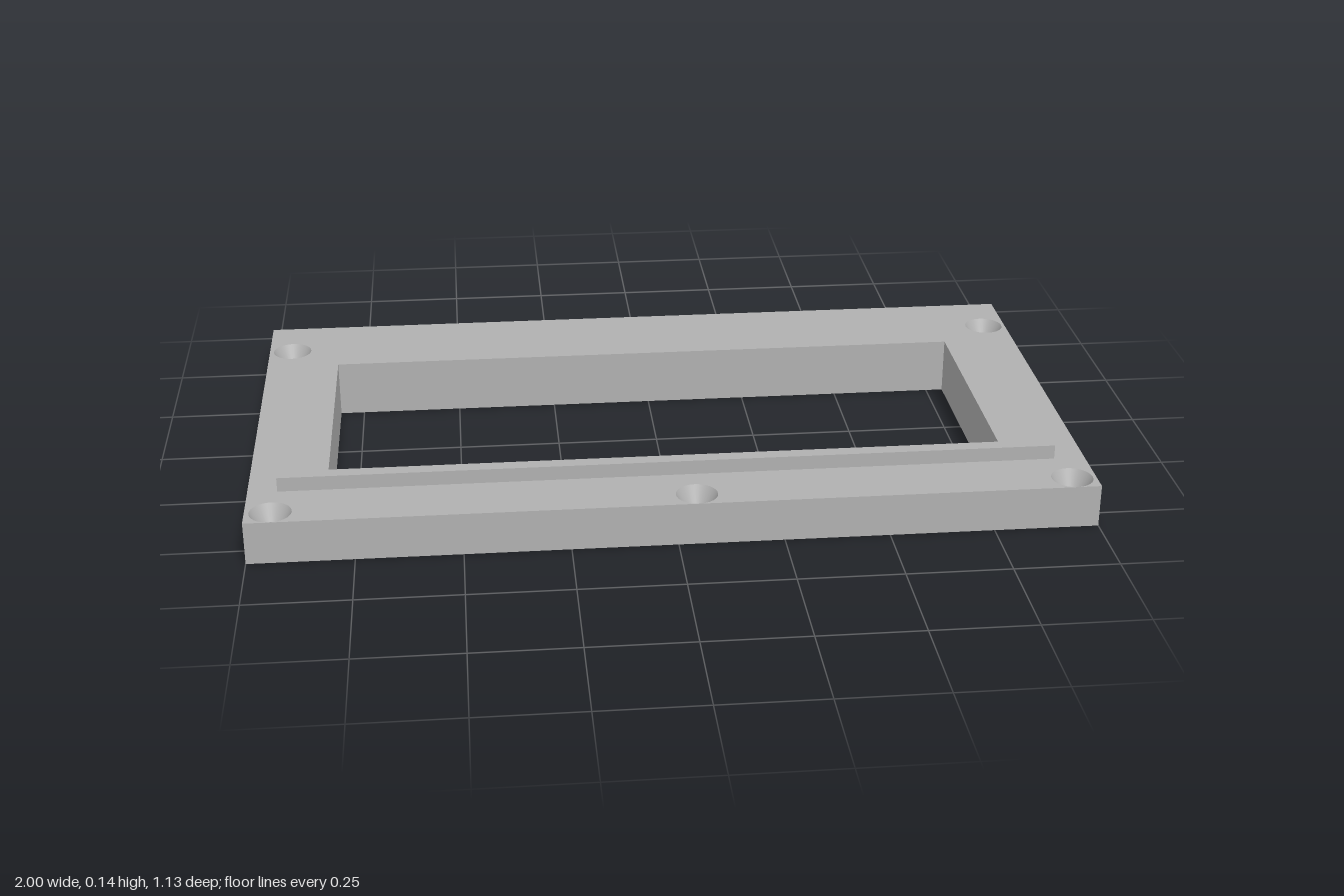
import * as THREE from 'three';
import { mergeGeometries } from 'three/addons/utils/BufferGeometryUtils.js';

// Outlines are counter-clockwise lists of Vector2(x, -z)
const loop = (pairs) => pairs.map(([x, z]) => new THREE.Vector2(x, -z));
const rect = (x0, x1, zBack, zFront) => loop([[x0, zFront], [x1, zFront], [x1, zBack], [x0, zBack]]);
const SEG = 32;
const circle = (x, z, r) => Array.from({ length: SEG }, (_, i) => {
  const a = (i / SEG) * Math.PI * 2;
  return new THREE.Vector2(x + r * Math.cos(a), -z + r * Math.sin(a));
});

// Flat horizontal face with holes, facing up or down
function cap(outline, holes, y, up) {
  const shape = new THREE.Shape(outline);
  shape.holes = holes.map((h) => new THREE.Path(h));
  const g = new THREE.ShapeGeometry(shape).rotateX(-Math.PI / 2).translate(0, y, 0);
  if (!up) {
    const idx = g.index;
    for (let i = 0; i < idx.count; i += 3) {
      const b = idx.getX(i + 1);
      idx.setX(i + 1, idx.getX(i + 2));
      idx.setX(i + 2, b);
    }
    g.computeVertexNormals();
  }
  const flat = g.toNonIndexed();
  flat.deleteAttribute('uv');
  return flat;
}

// Upright wall along an outline; inward for openings
function wall(outline, y0, y1, inward = false) {
  const pts = inward ? [...outline].reverse() : outline;
  const pos = [];
  pts.forEach((a, i) => {
    const b = pts[(i + 1) % pts.length];
    pos.push(a.x, y0, -a.y, b.x, y0, -b.y, b.x, y1, -b.y);
    pos.push(a.x, y0, -a.y, b.x, y1, -b.y, a.x, y1, -a.y);
  });
  const g = new THREE.BufferGeometry();
  g.setAttribute('position', new THREE.Float32BufferAttribute(pos, 3));
  g.computeVertexNormals();
  return g;
}

export function createModel() {
  const grey = new THREE.MeshStandardMaterial({ color: 0xb0b0b0 });
  grey.name = 'grey';
  const group = new THREE.Group();
  group.name = 'bezelPlate';
  const add = (name, geos) => {
    const mesh = new THREE.Mesh(geos.length > 1 ? mergeGeometries(geos) : geos[0], grey);
    mesh.name = name;
    group.add(mesh);
  };

  const plateTop = 0.105, frameTop = 0.14, Z = 0.563;
  const slotTop = 0.035, slotZ = -Z + 0.032, slotL = -0.875, slotR = 0.865;
  const boreR = 0.028, sinkR = 0.0495, sinkDepth = 0.04;

  const plate = rect(-1, 1, -Z, Z);
  const footprint = loop([[-1, Z], [1, Z], [1, -Z], [slotR, -Z], [slotR, slotZ],
    [slotL, slotZ], [slotL, -Z], [-1, -Z]]);
  const frame = loop([[-0.93, 0.41], [0.925, 0.41], [0.845, -0.268], [-0.85, -0.268]]);
  const opening = rect(-0.81, 0.793, -0.233, 0.376);
  const screws = [[-0.94, -0.411], [0.942, -0.411], [-0.94, 0.513], [0.047, 0.513], [0.942, 0.513]];

  // Plate with a shallow slot under its back edge
  add('plate', [
    cap(plate, [frame, ...screws.map(([x, z]) => circle(x, z, sinkR))], plateTop, true),
    cap(footprint, [opening, ...screws.map(([x, z]) => circle(x, z, boreR))], 0, false),
    wall(plate, slotTop, plateTop),
    wall(footprint, 0, slotTop),
  ]);
  add('backSlotCeiling', [cap(rect(slotL, slotR, -Z, slotZ), [], slotTop, false)]);

  // Raised tapered frame and the window through it
  add('raisedFrame', [cap(frame, [opening], frameTop, true), wall(frame, plateTop, frameTop)]);
  add('windowWalls', [wall(opening, 0, frameTop, true)]);

  // Countersunk screw holes, profiles run downward so they face inward
  const sinkY = plateTop - sinkDepth;
  const lathe = (r0, y0, r1, y1) =>
    new THREE.LatheGeometry([new THREE.Vector2(r0, y0), new THREE.Vector2(r1, y1)], SEG);
  const hole = mergeGeometries([lathe(sinkR, plateTop, boreR, sinkY), lathe(boreR, sinkY, boreR, 0)]);
  for (const [x, z] of screws) add('screwHole', [hole.clone().translate(x, 0, z)]);

  return group;
}
